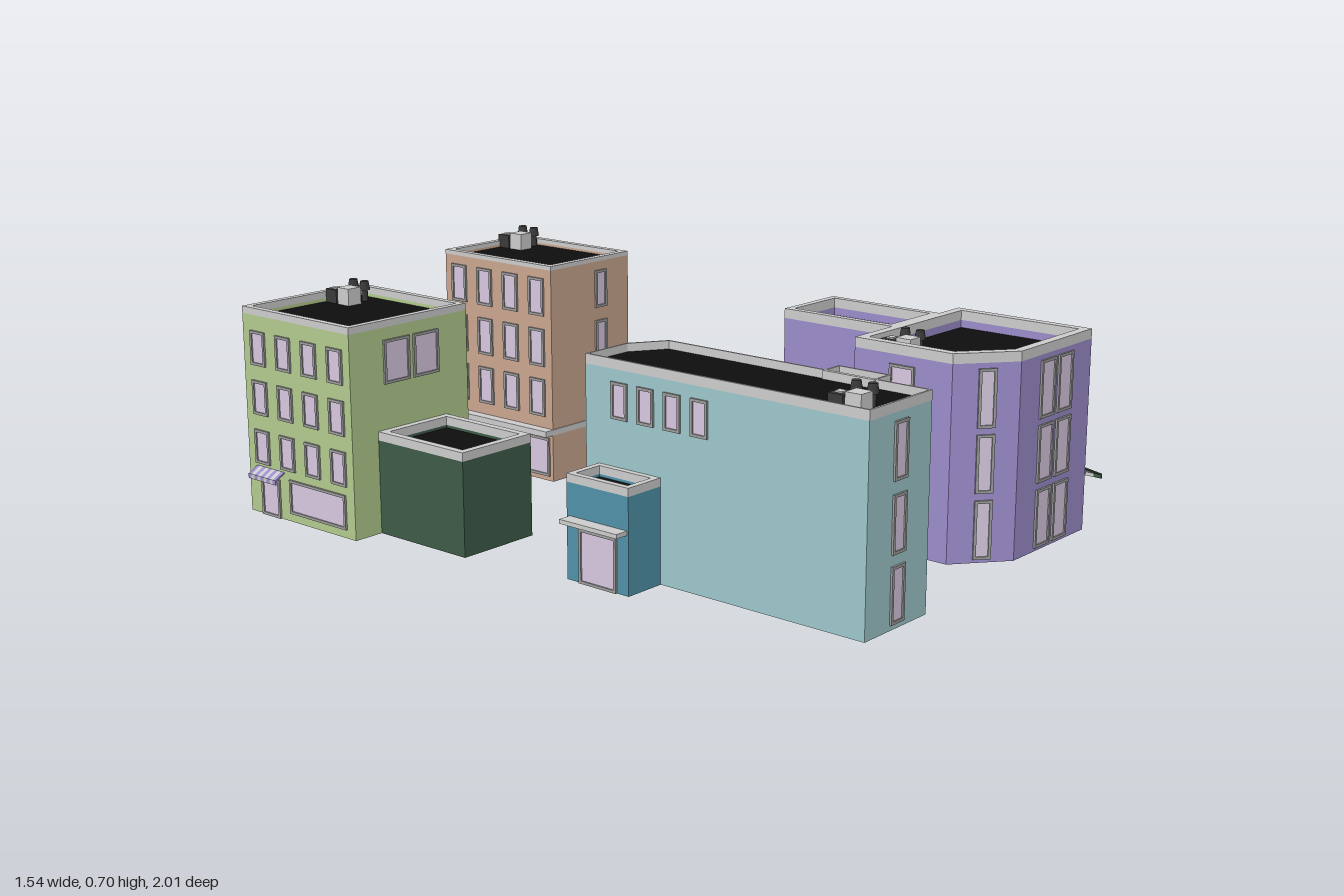
import * as THREE from 'three';

const mats = {};
const mat = (c) => (mats[c] ??= new THREE.MeshStandardMaterial({ color: c, side: THREE.DoubleSide }));
const GREY = 0xcccccc, GLASS = 0xd6c7de, ROOF = 0x0d0d0d, DARK = 0x3a3a3a, FRAME = 0x9a9a9a;
const GREEN = 0xb1c98c, DGREEN = 0x3d5a47, ORANGE = 0xc9a58f, TEAL = 0x9cc6ca, DTEAL = 0x4f90a6, PURPLE = 0x9b8bc9;
const FRONT = 0, LEFT = Math.PI / 2, BACK = Math.PI, RIGHT = -Math.PI / 2; // directions a wall faces

function add(parent, name, geo, color) {
  const m = new THREE.Mesh(geo, mat(color));
  m.name = name;
  parent.add(m);
  return m;
}

// Box given by its two opposite corners
function box(parent, name, color, x0, x1, y0, y1, z0, z1) {
  const m = add(parent, name, new THREE.BoxGeometry(x1 - x0, y1 - y0, z1 - z0), color);
  m.position.set((x0 + x1) / 2, (y0 + y1) / 2, (z0 + z1) / 2);
  return m;
}

const rect = (x0, x1, z0, z1) => [[x0, z0], [x1, z0], [x1, z1], [x0, z1]];

// Moves the edges of a convex footprint inward by d
function inset(pts, d) {
  const n = pts.length;
  const normal = (a, b) => {
    const dx = b[0] - a[0], dz = b[1] - a[1], l = Math.hypot(dx, dz);
    return [-dz / l, dx / l];
  };
  return pts.map((p, i) => {
    const a = normal(pts[(i + n - 1) % n], p), b = normal(p, pts[(i + 1) % n]);
    const k = d / (1 + a[0] * b[0] + a[1] * b[1]);
    return [p[0] + k * (a[0] + b[0]), p[1] + k * (a[1] + b[1])];
  });
}

// Upright prism over a footprint, with an optional hole
function prism(parent, name, color, pts, y0, y1, hole) {
  const vec = (a) => a.map(([x, z]) => new THREE.Vector2(x, -z));
  const shape = new THREE.Shape(vec(pts));
  if (hole) shape.holes.push(new THREE.Path(vec(hole)));
  const geo = new THREE.ExtrudeGeometry(shape, { depth: y1 - y0, bevelEnabled: false });
  geo.rotateX(-Math.PI / 2);
  add(parent, name, geo, color).position.y = y0;
}

// Walls, sunken dark roof and grey parapet
function block(root, name, color, pts, { top, band, roof, rim }) {
  const g = new THREE.Group();
  g.name = name;
  root.add(g);
  const base = Math.min(roof - 0.004, band), inner = inset(pts, rim);
  prism(g, 'walls', color, pts, 0, base);
  prism(g, 'roof', ROOF, inner, base, roof);
  if (band > base) prism(g, 'upperWall', color, pts, base, band, inner);
  prism(g, 'parapet', GREY, pts, band, top, inner);
  return g;
}

// Framed pane centred on (x, z) of a wall, from y0 to y1
function pane(parent, x, z, dir, w, y0, y1, { name = 'window', t = 0.008, frame = FRAME, glass = GLASS } = {}) {
  const g = new THREE.Group(), h = y1 - y0;
  g.name = name;
  const r = (w, h, C) => new C([[-w, -h], [w, -h], [w, h], [-w, h]].map(([a, b]) => new THREE.Vector2(a / 2, b / 2)));
  const s = r(w, h, THREE.Shape);
  s.holes.push(r(w - 2 * t, h - 2 * t, THREE.Path));
  add(g, 'frame', new THREE.ExtrudeGeometry(s, { depth: 0.006, bevelEnabled: false }), frame);
  add(g, 'glass', new THREE.PlaneGeometry(w - 2 * t, h - 2 * t), glass).position.z = 0.002;
  g.position.set(x, (y0 + y1) / 2, z);
  g.rotation.y = dir;
  parent.add(g);
}

// Grid of windows: positions along the wall by rows [y0, y1]
function windows(parent, spots, dir, w, rows) {
  for (const [x, z] of spots) for (const [y0, y1] of rows) pane(parent, x, z, dir, w, y0, y1);
}
const along = (x, zs) => zs.map((z) => [x, z]);

// Sloping striped awning with a short hanging edge; side is +1 or -1 in x
function awning(parent, x, side, depth, z0, z1, y0, y1, n, colors) {
  const g = new THREE.Group(), w = (z1 - z0) / n, drop = y1 - y0 - 0.012;
  g.name = 'awning';
  for (let i = 0; i < n; i++) {
    const z = z0 + (i + 0.5) * w, c = colors[i % 2];
    const s = add(g, 'stripe', new THREE.BoxGeometry(Math.hypot(depth, drop), 0.004, w), c);
    s.position.set(x + side * depth / 2, y1 - drop / 2, z);
    s.rotation.z = -side * Math.atan2(drop, depth);
    const e = x + side * depth;
    box(g, 'valance', c, e - 0.002, e + 0.002, y0, y0 + 0.014, z - w / 2, z + w / 2);
  }
  parent.add(g);
}

// Air conditioner, hatch and two vents
function roofUnits(parent, x, y, z) {
  const g = new THREE.Group();
  g.name = 'roofUnits';
  box(g, 'airConditioner', GREY, -0.024, 0.024, 0, 0.05, -0.024, 0.024);
  box(g, 'fanBox', DARK, -0.024, 0.024, 0, 0.04, -0.075, -0.03);
  box(g, 'fan', GREY, -0.011, 0.011, 0.04, 0.044, -0.064, -0.042);
  for (const vz of [-0.052, -0.003]) {
    const stem = add(g, 'ventStem', new THREE.CylinderGeometry(0.009, 0.009, 0.035, 8), DARK);
    stem.position.set(0.062, 0.0175, vz);
    const cap = add(g, 'ventCap', new THREE.CylinderGeometry(0.012, 0.016, 0.026, 8), DARK);
    cap.position.set(0.062, 0.046, vz);
  }
  g.position.set(x, y, z);
  parent.add(g);
}

function greenBuilding(root) {
  const g = block(root, 'greenBuilding', GREEN, rect(-0.74, -0.3, -0.985, -0.53), { top: 0.605, band: 0.585, roof: 0.575, rim: 0.02 });
  const rows = [[0.15, 0.25], [0.295, 0.395], [0.44, 0.54]], zs = [-0.92, -0.81, -0.7, -0.59];
  windows(g, along(-0.3, zs), LEFT, 0.062, [[0.02, 0.11], ...rows]);
  windows(g, along(-0.74, zs), RIGHT, 0.062, rows);
  windows(g, [[-0.57, -0.53], [-0.46, -0.53]], FRONT, 0.095, [[0.425, 0.55]]);
  // Tall stair window at the back
  box(g, 'stairPanel', DGREEN, -0.625, -0.405, 0, 0.56, -1, -0.984);
  pane(g, -0.515, -1, BACK, 0.09, 0.06, 0.5, { name: 'stairWindow' });
  // Side entrance
  pane(g, -0.74, -0.89, RIGHT, 0.08, 0, 0.115, { name: 'door' });
  pane(g, -0.74, -0.685, RIGHT, 0.24, 0.025, 0.125, { name: 'shopWindow' });
  awning(g, -0.74, -1, 0.032, -0.95, -0.83, 0.11, 0.14, 9, [PURPLE, GREY]);
  roofUnits(g, -0.428, 0.575, -0.885);

  const a = block(root, 'garage', DGREEN, rect(-0.645, -0.385, -0.53, -0.195), { top: 0.295, band: 0.27, roof: 0.262, rim: 0.022 });
  for (let i = 0; i < 6; i++) {
    const y = i * 0.031;
    box(a, 'garageDoorSlat', 0x808080, -0.39, -0.381, y, y + 0.028, -0.505, -0.215);
  }
  box(a, 'garageDoorBacking', DARK, -0.39, -0.383, 0, 0.185, -0.505, -0.215);
}

function orangeBuilding(root) {
  const g = block(root, 'orangeBuilding', ORANGE, rect(0.035, 0.378, -0.965, -0.515), { top: 0.665, band: 0.652, roof: 0.645, rim: 0.02 });
  const rows = [[0.2, 0.315], [0.355, 0.47], [0.51, 0.625]];
  windows(g, [[0.252, -0.515]], FRONT, 0.05, rows);
  windows(g, [0.09, 0.207, 0.323].map((x) => [x, -0.965]), BACK, 0.062, rows);
  windows(g, along(0.035, [-0.905, -0.795, -0.685, -0.575]), RIGHT, 0.062, rows);
  // Ledge over the shop fronts
  box(g, 'ledge', GREY, 0.002, 0.382, 0.146, 0.164, -1, -0.512);
  for (const x of [0.098, 0.207, 0.316]) pane(g, x, -0.965, BACK, 0.105, 0.015, 0.135, { name: 'shopWindow' });
  for (const z of [-0.885, -0.74, -0.595]) pane(g, 0.035, z, RIGHT, 0.135, 0.015, 0.135, { name: 'shopWindow' });
  roofUnits(g, 0.275, 0.645, -0.875);
}

function tealBuilding(root) {
  const pts = [[-0.465, 0.09], [-0.305, 0.09], [-0.203, 0.155], [-0.203, 1], [-0.465, 1]];
  const g = block(root, 'tealBuilding', TEAL, pts, { top: 0.58, band: 0.553, roof: 0.557, rim: 0.006 });
  const rows = [[0.015, 0.165], [0.195, 0.348], [0.382, 0.532]];
  windows(g, [[-0.333, 1]], FRONT, 0.056, rows);
  windows(g, along(-0.203, [0.23, 0.35, 0.47, 0.59, 0.92]), LEFT, 0.062, rows);
  windows(g, [[-0.254, 0.1225]], Math.atan2(0.065, -0.102), 0.056, rows);
  windows(g, along(-0.465, [0.21, 0.3, 0.39, 0.48]), RIGHT, 0.055, [[0.42, 0.52]]);
  roofUnits(g, -0.422, 0.557, 0.937);

  // Entrance bay with canopy
  const b = block(root, 'entranceBay', DTEAL, rect(-0.215, -0.143, 0.675, 0.835), { top: 0.58, band: 0.553, roof: 0.557, rim: 0.006 });
  box(b, 'canopy', GREY, -0.145, -0.1, 0.171, 0.185, 0.672, 0.835);
  pane(b, -0.143, 0.755, LEFT, 0.1, 0, 0.155, { name: 'door' });
  windows(b, [[-0.143, 0.755]], LEFT, 0.062, rows.slice(1));

  // Low side entrance
  const s = block(root, 'sideEntrance', DTEAL, rect(-0.59, -0.465, 0.135, 0.35), { top: 0.29, band: 0.267, roof: 0.26, rim: 0.018 });
  box(s, 'canopy', GREY, -0.63, -0.588, 0.164, 0.176, 0.145, 0.345);
  pane(s, -0.59, 0.245, RIGHT, 0.13, 0, 0.15, { name: 'door' });
}

function purpleBuilding(root) {
  const pts = [[0.155, 0.51], [0.665, 0.51], [0.665, 0.945], [0.3, 0.945], [0.155, 0.825]];
  const g = block(root, 'purpleBuilding', PURPLE, pts, { top: 0.58, band: 0.552, roof: 0.53, rim: 0.027 });
  const rows = [[0.01, 0.175], [0.195, 0.357], [0.375, 0.537]];
  windows(g, [[0.437, 0.945], [0.527, 0.945]], FRONT, 0.074, rows);
  windows(g, [[0.23, 0.887]], Math.atan2(-0.12, 0.145), 0.05, rows);
  windows(g, along(0.665, [0.785, 0.68]), LEFT, 0.08, [[0.205, 0.357], [0.382, 0.537]]);
  roofUnits(g, 0.245, 0.53, 0.622);
  // Balconies with their windows
  for (const y of [0.175, 0.355]) {
    pane(g, 0.155, 0.667, RIGHT, 0.08, y + 0.01, y + 0.17);
    box(g, 'balconyFloor', GREY, 0.11, 0.156, y, y + 0.008, 0.612, 0.722);
    box(g, 'balconyRail', GREY, 0.11, 0.116, y, y + 0.04, 0.612, 0.722);
    for (const z of [0.612, 0.716]) box(g, 'balconySide', GREY, 0.11, 0.156, y, y + 0.04, z, z + 0.006);
  }
  // Shop front, blank sign board and awning
  box(g, 'shopBase', GREY, 0.66, 0.667, 0, 0.07, 0.525, 0.94);
  pane(g, 0.667, 0.633, LEFT, 0.21, 0.065, 0.15, { name: 'shopWindow', t: 0.005 });
  pane(g, 0.667, 0.893, LEFT, 0.095, 0.065, 0.15, { name: 'shopWindow', t: 0.005 });
  pane(g, 0.667, 0.79, LEFT, 0.1, 0.02, 0.15, { name: 'door', t: 0.004 });
  awning(g, 0.665, 1, 0.097, 0.522, 0.945, 0.128, 0.18, 17, [DGREEN, GREY]);
  box(g, 'signBorder', GREY, 0.665, 0.68, 0.18, 0.257, 0.56, 0.905);
  box(g, 'signBoard', DGREEN, 0.665, 0.685, 0.186, 0.251, 0.567, 0.898);

  const a = block(root, 'purpleWing', PURPLE, rect(0.33, 0.565, 0.135, 0.512), { top: 0.58, band: 0.552, roof: 0.53, rim: 0.021 });
  windows(a, along(0.565, [0.465, 0.37, 0.277, 0.183]), LEFT, 0.07, [[0.238, 0.352], [0.41, 0.54]]);
  windows(a, [[0.447, 0.135]], BACK, 0.06, rows.slice(1));
  pane(a, 0.565, 0.323, LEFT, 0.36, 0.05, 0.155, { name: 'shopWindow', t: 0.006 });
  awning(a, 0.565, 1, 0.068, 0.138, 0.507, 0.143, 0.185, 15, [DGREEN, GREY]);
}

export function createModel() {
  const root = new THREE.Group();
  root.name = 'cityBlock';
  greenBuilding(root);
  orangeBuilding(root);
  tealBuilding(root);
  purpleBuilding(root);
  return root;
}
